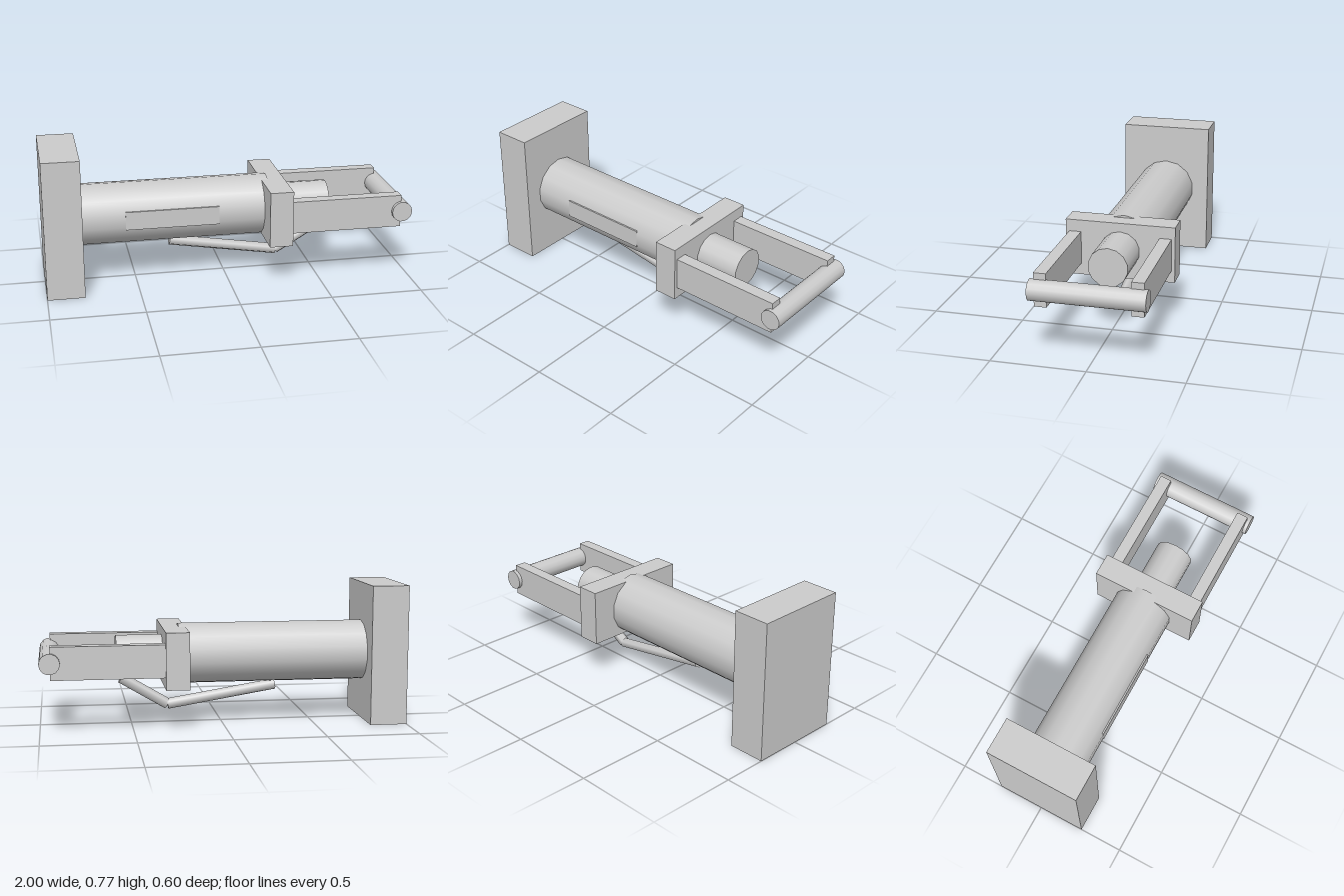
import * as THREE from 'three';

const material = new THREE.MeshStandardMaterial({ color: 0xcccccc });
const AXIS_Y = 0.384; // height of the main axis

export function createModel() {
  const model = new THREE.Group();
  model.name = 'ram';

  const add = (name, geometry) => {
    const mesh = new THREE.Mesh(geometry, material);
    mesh.name = name;
    model.add(mesh);
    return mesh;
  };

  // Box given by its extents along each axis
  const box = (name, [x0, x1], [y0, y1], [z0, z1]) =>
    add(name, new THREE.BoxGeometry(x1 - x0, y1 - y0, z1 - z0))
      .position.set((x0 + x1) / 2, (y0 + y1) / 2, (z0 + z1) / 2);

  // Cylinder between two points, with a ridge facing up
  const rod = (name, from, to, radius, sides) => {
    const a = new THREE.Vector3(...from);
    const b = new THREE.Vector3(...to);
    const geometry = new THREE.CylinderGeometry(radius, radius, a.distanceTo(b), sides);
    geometry.rotateY(Math.PI / 2);
    const mesh = add(name, geometry);
    mesh.position.copy(a).add(b).multiplyScalar(0.5);
    mesh.quaternion.setFromUnitVectors(new THREE.Vector3(0, 1, 0), b.sub(a).normalize());
  };

  // End block, barrel and the plate on its front
  box('endBlock', [-1, -0.797], [0, 0.766], [-0.259, 0.259]);
  rod('barrel', [-0.8, AXIS_Y, 0], [0.24, AXIS_Y, 0], 0.168, 14);
  box('sidePanel', [-0.56, -0.05], [0.334, 0.435], [0.12, 0.166]);
  box('crossPlate', [0.203, 0.331], [0.229, 0.538], [-0.298, 0.298]);
  rod('innerRod', [0.2, AXIS_Y, 0], [0.583, AXIS_Y, 0], 0.107, 14);

  // Two arms carrying the handle
  for (const [name, side] of [['leftArm', -1], ['rightArm', 1]]) {
    box(name, [0.32, 0.94], [0.294, 0.473], side > 0 ? [0.214, 0.279] : [-0.279, -0.214]);
  }
  rod('handle', [0.943, AXIS_Y, -0.299], [0.943, AXIS_Y, 0.299], 0.056, 14);

  // Bent lever below
  rod('leverRear', [-0.305, 0.198, 0], [0.298, 0.1, 0], 0.03, 6);
  rod('leverFront', [0.298, 0.1, 0], [0.555, 0.253, 0], 0.03, 6);

  return model;
}
